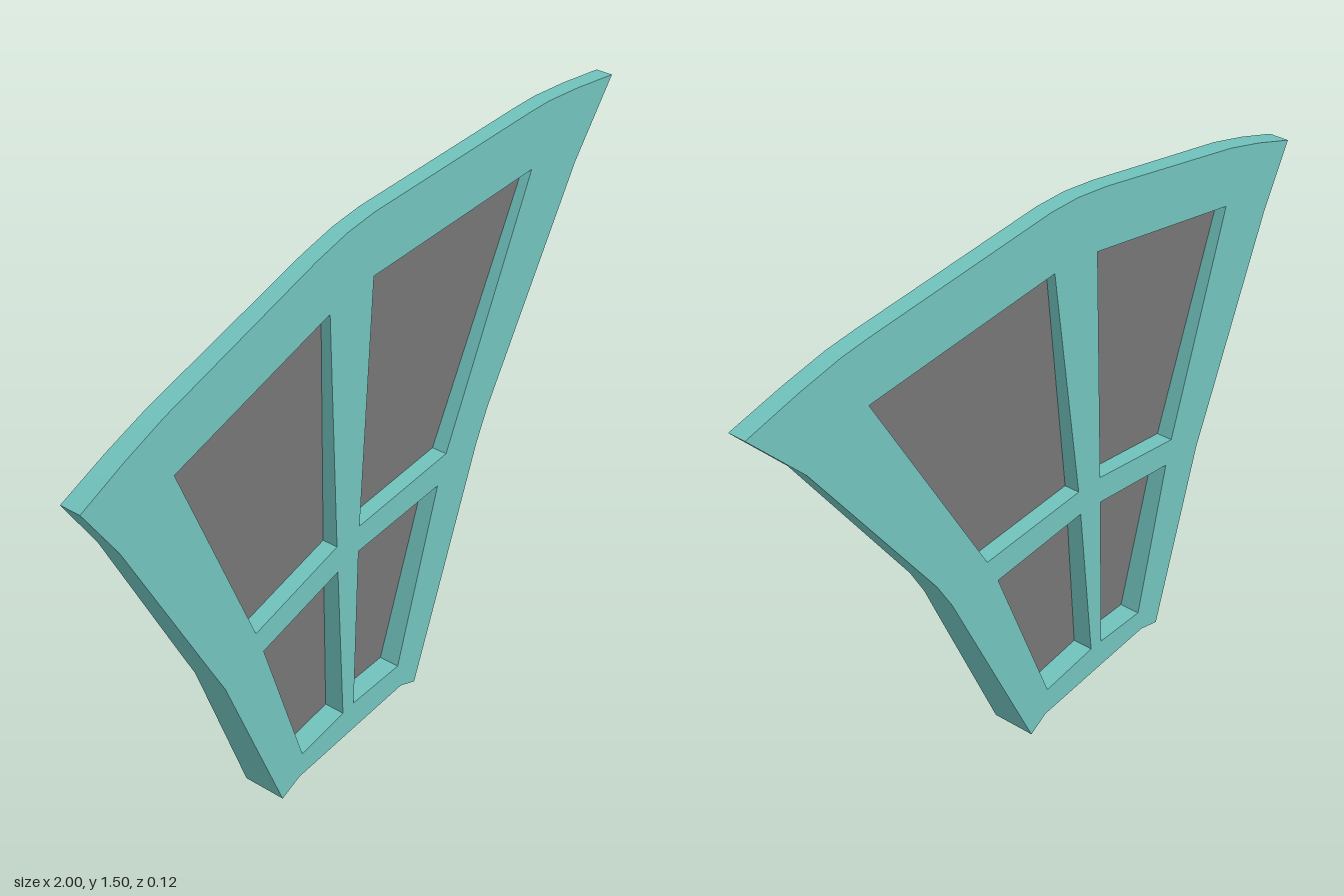
import * as THREE from 'three';
import { toCreasedNormals } from 'three/addons/utils/BufferGeometryUtils.js';

const points = (list) => list.map(([x, y]) => new THREE.Vector2(x, y));

// Half thickness: the frame tapers evenly from its base to its top
const halfDepth = (y) => 0.06 - 0.0253 * y;

export function createModel() {
  const group = new THREE.Group();
  const frameMaterial = new THREE.MeshStandardMaterial({ color: 0x70c1bb });
  const paneMaterial = new THREE.MeshStandardMaterial({ color: 0x757575, side: THREE.DoubleSide });

  // Flared outline, counter-clockwise from the lower left foot
  const outline = points([
    [-0.43, 0.01], [-0.36, 0.033], [0.07, 0.033], [0.13, 0.005],
    [0.37, 0.54], [0.41, 0.63], [0.46, 0.72], [0.84, 1.27], [1, 1.45],
    [0.84, 1.478], [0.71, 1.495], [0.62, 1.499], [0, 1.51], [-0.1, 1.503], [-0.21, 1.483],
    [-0.73, 1.357], [-0.86, 1.316], [-1, 1.264],
    [-0.9, 1.1], [-0.65, 0.59], [-0.61, 0.51],
  ]);

  // Four window openings
  const openings = {
    upperRightPane: [[-0.717, 1.197], [-0.49, 0.598], [-0.177, 0.66], [-0.172, 1.325]],
    upperLeftPane: [[-0.008, 1.345], [-0.087, 0.668], [0.276, 0.676], [0.639, 1.336]],
    lowerRightPane: [[-0.467, 0.528], [-0.345, 0.1], [-0.177, 0.115], [-0.177, 0.582]],
    lowerLeftPane: [[-0.094, 0.594], [-0.132, 0.118], [0.058, 0.11], [0.239, 0.596]],
  };

  // Frame: extruded with holes, then tapered in depth
  const shape = new THREE.Shape(outline);
  for (const corners of Object.values(openings)) shape.holes.push(new THREE.Path(points(corners)));
  const geometry = new THREE.ExtrudeGeometry(shape, { depth: 2, bevelEnabled: false });
  const pos = geometry.attributes.position;
  for (let i = 0; i < pos.count; i++) pos.setZ(i, (pos.getZ(i) - 1) * halfDepth(pos.getY(i)));
  const frame = new THREE.Mesh(toCreasedNormals(geometry, 0.4), frameMaterial);
  frame.name = 'frame';
  group.add(frame);

  // Panes set in the middle of the frame's thickness
  for (const [name, corners] of Object.entries(openings)) {
    const pane = new THREE.Mesh(new THREE.ShapeGeometry(new THREE.Shape(points(corners))), paneMaterial);
    pane.name = name;
    group.add(pane);
  }
  return group;
}
